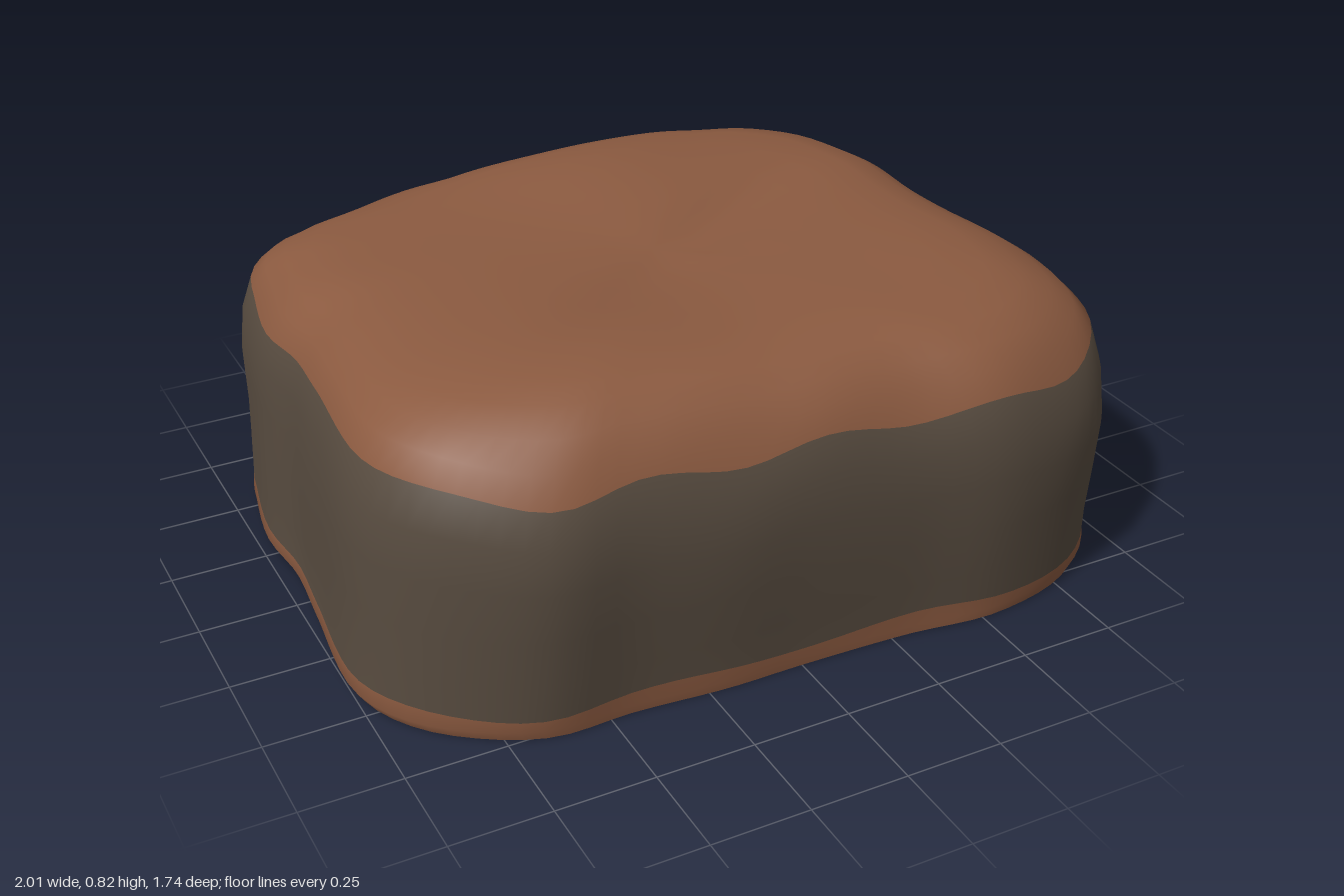
import * as THREE from 'three';

const SEGMENTS = 120;

// Footprint (x, z), clockwise seen from above
const OUTLINE = [
  [-0.98, -0.3], [-0.95, -0.5], [-0.91, -0.65], [-0.79, -0.77], [-0.6, -0.82], [-0.27, -0.87],
  [0, -0.86], [0.43, -0.86], [0.6, -0.81], [0.76, -0.77], [0.92, -0.64], [0.99, -0.4],
  [0.98, -0.1], [0.98, 0.1], [1, 0.4], [0.95, 0.65], [0.8, 0.8], [0.55, 0.865],
  [0.3, 0.84], [0, 0.83], [-0.2, 0.83], [-0.45, 0.81], [-0.65, 0.81], [-0.8, 0.74],
  [-0.93, 0.62], [-1, 0.46], [-0.98, 0.1], [-0.965, -0.1],
];

// Cross-sections from bottom to top: height, x scale, z scale
const RINGS = [
  [0, 0.985, 0.95], [0.025, 1, 0.955], [0.06, 0.995, 0.958], [0.15, 0.99, 0.97],
  [0.28, 0.987, 0.988], [0.42, 0.984, 1], [0.54, 0.975, 0.992], [0.63, 0.95, 0.958],
  [0.685, 0.91, 0.915], [0.73, 0.86, 0.865], [0.762, 0.795, 0.795], [0.78, 0.715, 0.715],
  [0.786, 0.6, 0.6], [0.787, 0.48, 0.48], [0.787, 0.36, 0.36], [0.787, 0.24, 0.24],
  [0.787, 0.12, 0.12], [0.787, 0, 0],
];
const LOWER_EDGE = 2;
const UPPER_EDGE = 7;

const bump = (x, z, cx, cz, r) => Math.exp(-((x - cx) ** 2 + (z - cz) ** 2) / (r * r));

// Hills and the diagonal furrow of the top
function topRelief(x, z) {
  const across = (x * 0.55 + z * 0.83) - 0.08;
  const along = x * 0.83 - z * 0.55;
  const furrow = Math.exp(-((across / 0.11) ** 2) - ((along - 0.1) / 0.55) ** 2);
  return 0.026 * bump(x, z, -0.45, 0.45, 0.35) + 0.032 * bump(x, z, 0.15, -0.48, 0.38)
    + 0.01 * bump(x, z, 0.6, 0.35, 0.3) - 0.03 * bump(x, z, -0.6, -0.6, 0.35)
    - 0.035 * furrow + 0.004 * Math.sin(9 * x + 5 * z) * Math.cos(7 * z - 2 * x);
}

// Wavy border between crust and sides
const borderWave = (x, z) =>
  0.015 * Math.cos(14 * (x - 0.05)) + 0.022 * Math.cos(4.5 * (z - 0.3));

function ringPoint(p, [h, sx, sz], ring) {
  const x = p.x * sx;
  const z = p.z * sz;
  // Gentle dents in the sides
  const dent = 1 + 0.006 * Math.sin(5 * x + 9 * h) * Math.sin(6 * z - 7 * h) * Math.sin(Math.PI * Math.min(h / 0.75, 1));
  let y = h;
  if (ring === LOWER_EDGE) y += 0.007 * Math.cos(9 * x + 4 * z);
  const nearBorder = Math.max(0, 1 - Math.abs(ring - UPPER_EDGE) / 3);
  y += nearBorder * borderWave(x, z);
  y += THREE.MathUtils.smoothstep(h, 0.63, 0.78) * topRelief(x, z);
  return [x * dent, y, z * dent];
}

function buildBody(outline) {
  const positions = [];
  RINGS.forEach((ring, r) => outline.forEach((p) => positions.push(...ringPoint(p, ring, r))));
  const index = [];
  const geometry = new THREE.BufferGeometry();
  const addBand = (from, to, material) => {
    const start = index.length;
    for (let r = from; r < to; r++) {
      for (let i = 0; i < SEGMENTS; i++) {
        const a = r * SEGMENTS + i;
        const b = r * SEGMENTS + (i + 1) % SEGMENTS;
        const c = a + SEGMENTS;
        const d = b + SEGMENTS;
        index.push(a, c, b);
        if (r < RINGS.length - 2) index.push(b, c, d);
      }
    }
    geometry.addGroup(start, index.length - start, material);
  };
  addBand(0, LOWER_EDGE, 0);
  addBand(LOWER_EDGE, UPPER_EDGE, 1);
  addBand(UPPER_EDGE, RINGS.length - 1, 0);
  geometry.setAttribute('position', new THREE.Float32BufferAttribute(positions, 3));
  geometry.setIndex(index);
  geometry.computeVertexNormals();
  // One shared upright normal where the rings meet at the centre
  const normals = geometry.attributes.normal;
  for (let i = 0; i < SEGMENTS; i++) normals.setXYZ((RINGS.length - 1) * SEGMENTS + i, 0, 1, 0);
  return geometry;
}

function buildUnderside(outline) {
  const positions = [0, 0, 0];
  const index = [];
  outline.forEach((p, i) => {
    positions.push(...ringPoint(p, RINGS[0], 0));
    index.push(0, i + 1, (i + 1) % SEGMENTS + 1);
  });
  const geometry = new THREE.BufferGeometry();
  geometry.setAttribute('position', new THREE.Float32BufferAttribute(positions, 3));
  geometry.setIndex(index);
  geometry.computeVertexNormals();
  return geometry;
}

export function createModel() {
  const crust = new THREE.MeshStandardMaterial({ color: 0x8b5a40 });
  crust.name = 'crust brown';
  const crumb = new THREE.MeshStandardMaterial({ color: 0x574b3f });
  crumb.name = 'crumb dark brown';

  const curve = new THREE.CatmullRomCurve3(OUTLINE.map(([x, z]) => new THREE.Vector3(x, 0, z)), true);
  const outline = curve.getSpacedPoints(SEGMENTS).slice(0, SEGMENTS);

  const group = new THREE.Group();
  group.name = 'cakeSlab';
  const body = new THREE.Mesh(buildBody(outline), [crust, crumb]);
  body.name = 'crustAndSides';
  const underside = new THREE.Mesh(buildUnderside(outline), crust);
  underside.name = 'underside';
  group.add(body, underside);
  return group;
}
